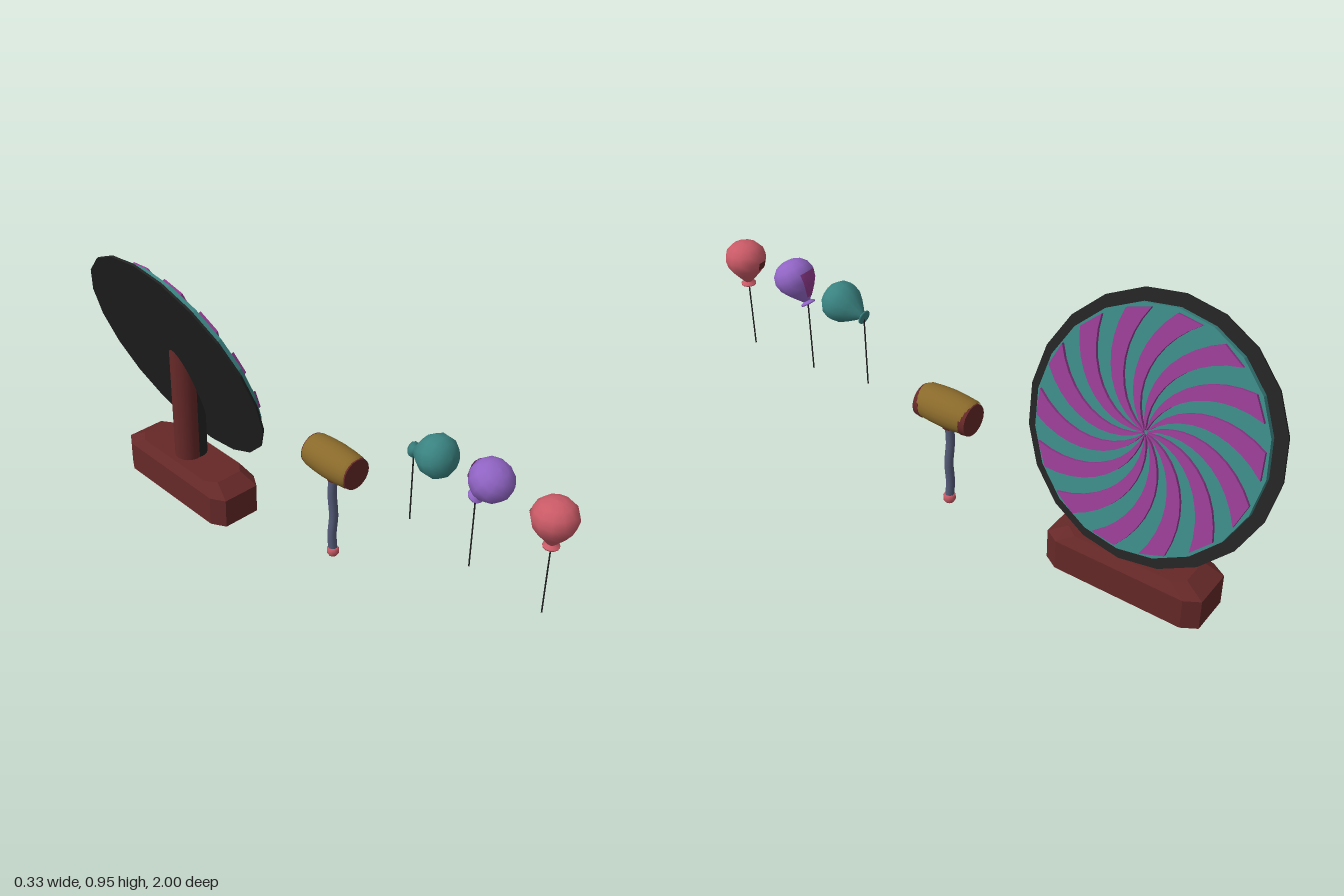
import * as THREE from 'three';
import { toCreasedNormals } from 'three/addons/utils/BufferGeometryUtils.js';

const mat = (name, color, extra = {}) => {
  const m = new THREE.MeshStandardMaterial({ color, ...extra });
  m.name = name;
  return m;
};

export function createModel() {
  const model = new THREE.Group();
  const teal = mat('teal', 0x3a8482);
  const magenta = mat('magenta', 0x923a8e, { side: THREE.DoubleSide });
  const black = mat('black', 0x222222);
  const darkRed = mat('dark red', 0x662828, { side: THREE.DoubleSide });
  const gold = mat('gold', 0x8a6a2b);
  const pink = mat('pink', 0xc95a66);
  const violet = mat('violet', 0x9064c4);
  const slate = mat('slate', 0x555b78);

  const add = (parent, name, geo, material, x = 0, y = 0, z = 0) => {
    const mesh = new THREE.Mesh(geo, material);
    mesh.name = name;
    mesh.position.set(x, y, z);
    parent.add(mesh);
    return mesh;
  };
  const lathe = (pts, sides, start = 0, sweep = Math.PI * 2) =>
    new THREE.LatheGeometry(pts.map(([r, y]) => new THREE.Vector2(r, y)), sides, start, sweep);

  // Hollow base with clipped corners and a sloping shoulder
  const octagon = (y, hx, hz, cx, cz) => [
    [hx, -hz + cz], [hx, hz - cz], [hx - cx, hz], [-hx + cx, hz],
    [-hx, hz - cz], [-hx, -hz + cz], [-hx + cx, -hz], [hx - cx, -hz],
  ].map(([x, z]) => [x, y, z]);
  const rings = [
    octagon(0, 0.1, 0.275, 0.03, 0.05),
    octagon(0.11, 0.1, 0.275, 0.03, 0.05),
    octagon(0.147, 0.08, 0.21, 0.03, 0.04),
  ];
  const tris = [];
  for (let i = 0; i < 8; i++) {
    const j = (i + 1) % 8;
    for (let k = 0; k < 2; k++) {
      const [a, b, c, d] = [rings[k][i], rings[k][j], rings[k + 1][j], rings[k + 1][i]];
      tris.push(...a, ...c, ...b, ...a, ...d, ...c);
    }
    tris.push(...rings[2][i], 0, 0.147, 0, ...rings[2][j]);
  }
  const baseGeo = new THREE.BufferGeometry();
  baseGeo.setAttribute('position', new THREE.Float32BufferAttribute(tris, 3));
  baseGeo.computeVertexNormals();
  add(model, 'wheelBase', baseGeo, darkRed, 0.025, 0, -0.58);

  // Posts, cut at the top to meet the leaning wheel
  const post = (name, x, r, material) => {
    const geo = new THREE.CylinderGeometry(r, r, 1, 24);
    const p = geo.attributes.position;
    for (let i = 0; i < p.count; i++) {
      p.setY(i, p.getY(i) > 0 ? (0.168 - 0.94 * (p.getX(i) + x)) / 0.34 : 0.13);
    }
    geo.computeVertexNormals();
    add(model, name, toCreasedNormals(geo, 0.6), material, x, 0, -0.58);
  };
  post('rearPost', 0.015, 0.05, darkRed);
  post('frontPost', 0.035, 0.05, black);

  // Leaning wheel: its local z is the axis, pointing to +x and up
  const wheel = new THREE.Group();
  wheel.name = 'wheel';
  const lean = Math.atan2(0.34, 0.94);
  const axis = new THREE.Vector3(Math.cos(lean), Math.sin(lean), 0);
  const up = new THREE.Vector3(-Math.sin(lean), Math.cos(lean), 0);
  wheel.quaternion.setFromRotationMatrix(
    new THREE.Matrix4().makeBasis(new THREE.Vector3(0, 0, -1), up, axis));
  wheel.position.set(-0.019, 0.558, -0.58);
  model.add(wheel);
  const disc = (name, r, depth, sides, material, z) => {
    const geo = new THREE.CylinderGeometry(r, r, depth, sides).rotateX(Math.PI / 2);
    add(wheel, name, toCreasedNormals(geo, 0.2), material, 0, 0, z);
  };
  disc('backPlate', 0.42, 0.008, 20, black, 0);
  disc('wheelHub', 0.04, 0.012, 16, black, 0.008);
  disc('wheelFace', 0.38, 0.021, 20, teal, 0.0215);

  // Raised swirl blades
  const blades = 14, steps = 10, R = 0.368;
  const step = (Math.PI * 2) / blades;
  const blade = new THREE.Shape();
  const edge = (u, offset) => {
    const a = -0.9 * u + offset;
    return new THREE.Vector2(R * u * Math.cos(a), R * u * Math.sin(a));
  };
  const outline = [];
  for (let i = 0; i <= steps; i++) outline.push(edge(0.02 + 0.98 * i / steps, -step * 0.25));
  for (let i = steps; i >= 0; i--) outline.push(edge(0.02 + 0.98 * i / steps, step * 0.25));
  blade.setFromPoints(outline);
  const bladeGeo = new THREE.ExtrudeGeometry(blade, { depth: 0.014, bevelEnabled: false });
  for (let i = 0; i < blades; i++) {
    add(wheel, 'swirlBlade', bladeGeo, magenta, 0, 0, 0.03).rotation.z = i * step + 0.1;
  }

  // Mallet: barrel head along z, end faces, wavy handle and pommel
  const mallet = new THREE.Group();
  mallet.name = 'mallet';
  mallet.position.set(0.095, 0, 0.082);
  model.add(mallet);
  const barrel = lathe([[0.052, -0.097], [0.058, -0.085], [0.062, -0.045], [0.064, 0],
    [0.062, 0.045], [0.058, 0.085], [0.052, 0.097]], 20).rotateX(Math.PI / 2);
  add(mallet, 'malletHead', barrel, gold, 0, 0.421, 0);
  for (const s of [-1, 1]) {
    const cap = new THREE.CylinderGeometry(0.054, 0.057, 0.022, 20).rotateX(s * Math.PI / 2);
    add(mallet, 'malletEnd', toCreasedNormals(cap, 0.6), darkRed, 0.003, 0.418, s * 0.09);
  }
  add(mallet, 'malletCollar', new THREE.CylinderGeometry(0.024, 0.022, 0.016, 12), darkRed, 0, 0.356, 0);
  const grip = new THREE.CatmullRomCurve3([[0, 0.37, 0], [-0.002, 0.29, -0.003],
    [0.002, 0.2, 0.002], [-0.002, 0.12, 0], [0, 0.06, 0.004]].map((p) => new THREE.Vector3(...p)));
  add(mallet, 'malletHandle', new THREE.TubeGeometry(grip, 14, 0.0155, 10), slate);
  const pommel = lathe([[0, -0.018], [0.015, -0.016], [0.021, -0.006], [0.021, 0.008],
    [0.016, 0.016], [0, 0.017]], 12);
  add(mallet, 'malletPommel', pommel, pink, 0, 0.055, 0.004);

  // Balloons: origin at the knot, tilted towards the front
  const body = [[0.011, 0.006], [0.022, 0.018], [0.045, 0.045], [0.062, 0.07],
    [0.069, 0.098], [0.062, 0.124], [0.044, 0.143], [0.022, 0.152], [0, 0.154]];
  const knot = [[0, -0.004], [0.024, -0.004], [0.025, 0.001], [0.012, 0.008], [0.012, 0.014]];
  const balloon = (y, z, tilt, material, stringEnd) => {
    const g = new THREE.Group();
    g.name = 'balloon';
    g.position.set(0.095, y, z);
    g.rotation.x = tilt;
    model.add(g);
    add(g, 'balloonBody', lathe(body, 12), material);
    add(g, 'balloonKnot', lathe(knot, 12), material);
    const h = y - stringEnd;
    add(model, 'balloonString', new THREE.CylinderGeometry(0.0025, 0.0025, h, 6), black,
      0.095, stringEnd + h / 2, z);
    return g;
  };
  const first = balloon(0.588, 0.935, 0, pink, 0.345);
  const second = balloon(0.605, 0.662, 0.55, violet, 0.345);
  balloon(0.638, 0.418, 1.3, teal, 0.38);

  // Thin coloured patches on the backs of two balloons
  const patch = (rows) => rows.map((i) => [body[i][0] + 0.0015, body[i][1]]);
  add(first, 'balloonPatch', lathe(patch([3, 4]), 3, Math.PI - 0.1, Math.PI / 6), darkRed);
  add(second, 'balloonPatch', lathe(patch([1, 2, 3, 4]), 4, Math.PI - 0.4, Math.PI / 3), magenta);

  return model;
}
